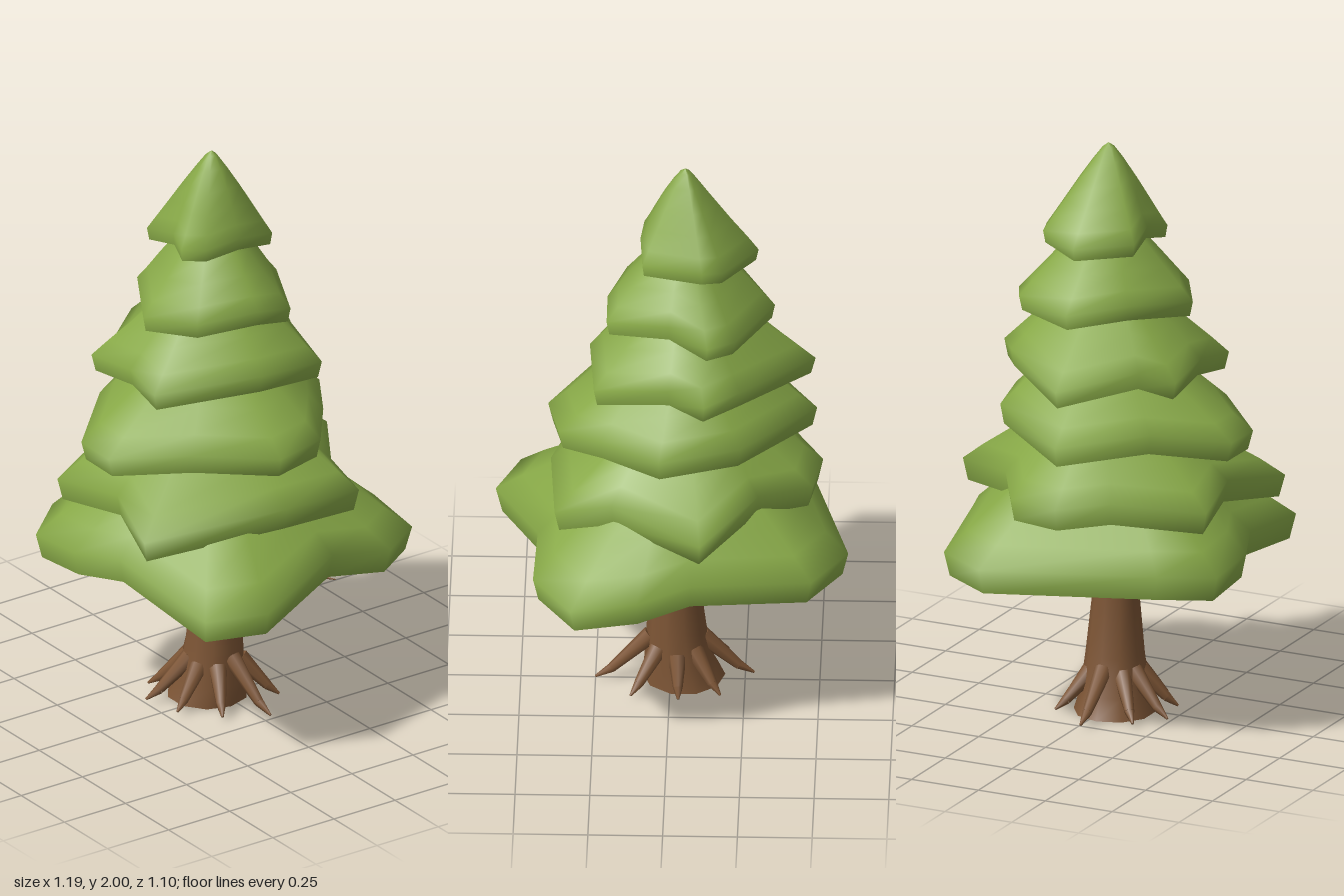
import * as THREE from 'three';

const leafMat = new THREE.MeshStandardMaterial({ color: 0x87a847 });
leafMat.name = 'leafGreen';
const barkMat = new THREE.MeshStandardMaterial({ color: 0x7d5535 });
barkMat.name = 'barkBrown';

// Corners [x, z] of each ragged foliage tier, lowest tier first
const rims = [
  [[-0.6, -0.2], [-0.48, -0.39], [-0.08, -0.48], [0.1, -0.55], [0.32, -0.55], [0.45, -0.37], [0.44, -0.14],
    [0.59, 0.23], [0.51, 0.43], [0.08, 0.475], [-0.09, 0.545], [-0.31, 0.545], [-0.44, 0.385]],
  [[-0.51, 0.04], [-0.48, -0.14], [-0.3, -0.25], [-0.11, -0.505], [0.19, -0.31], [0.38, -0.29], [0.4, 0.02],
    [0.27, 0.51], [0, 0.43], [-0.27, 0.485], [-0.41, 0.2]],
  [[-0.49, 0.03], [-0.24, -0.3], [0.03, -0.375], [0.23, -0.25], [0.37, -0.14], [0.41, 0.05], [0.25, 0.3],
    [0.05, 0.5], [-0.11, 0.5], [-0.3, 0.29]],
  [[-0.485, 0.03], [-0.24, -0.26], [-0.12, -0.345], [0, -0.28], [0.25, -0.23], [0.27, 0.03], [0.13, 0.37],
    [-0.04, 0.35], [-0.25, 0.36], [-0.28, 0.24]],
  [[-0.35, 0], [-0.22, -0.24], [-0.13, -0.285], [0, -0.22], [0.21, -0.13], [0.21, 0], [0.15, 0.21],
    [-0.02, 0.31], [-0.24, 0.18]],
  [[-0.295, 0], [-0.18, -0.17], [-0.11, -0.19], [0.09, -0.14], [0.1, 0], [0.09, 0.13], [0.03, 0.19],
    [-0.06, 0.16], [-0.19, 0.175]],
];

// Joins rings (listed bottom to top, angles rising from x to z) into a smooth skin
function skin(rings) {
  const n = rings[0].length;
  const index = [];
  for (let i = 0; i < rings.length - 1; i++) {
    for (let j = 0; j < n; j++) {
      const a = i * n + j, b = i * n + (j + 1) % n;
      index.push(a, a + n, b, b, a + n, b + n);
    }
  }
  const g = new THREE.BufferGeometry();
  g.setAttribute('position', new THREE.Float32BufferAttribute(rings.flat(2), 3));
  g.setIndex(index);
  g.computeVertexNormals();
  return g;
}

function makeTier(rim, i) {
  const cx = -0.05, cz = 0.01;
  const low = 0.5 + 0.23 * i;
  const thick = 0.1 - 0.01 * i;
  const rise = i === 0 ? 0.42 : 0.332 - 0.01 * i;

  // Corners far from the trunk droop lowest
  const edge = rim.map(([x, z]) => ({ r: Math.hypot(x - cx, z - cz), a: Math.atan2(z - cz, x - cx) }));
  edge.sort((p, q) => p.a - q.a);
  const radii = edge.map((p) => p.r);
  const far = Math.max(...radii), near = Math.min(...radii);
  edge.forEach((p) => { p.y = low + thick * 0.75 * (far - p.r) / (far - near); });
  const average = (key) => edge.reduce((sum, p) => sum + p[key], 0) / edge.length;
  const meanR = average('r'), meanY = average('y');

  // Rim scaled to fraction f, growing rounder and more level toward the centre
  const ring = (f, lift) => edge.map(({ r, a, y }) => {
    const k = f * THREE.MathUtils.lerp(meanR, r, Math.min(1, f * 1.15));
    return [cx + k * Math.cos(a), THREE.MathUtils.lerp(meanY, y, f) + lift, cz + k * Math.sin(a)];
  });

  const slope = [[0.86, 0.13], [0.68, 0.34], [0.48, 0.57], [0.26, 0.8], [0.1, 0.95], [0.002, 1]];
  const top = [[0.965, 0], [1, thick * 0.85], ...slope.map(([f, h]) => [f, thick + rise * h])];
  const under = [[0.002, thick], [0.5, thick * 0.6], [0.8, thick * 0.25], [0.965, 0]];
  const group = new THREE.Group();
  group.name = `foliageTier${i + 1}`;
  for (const [name, profile] of [['boughTop', top], ['boughUnderside', under]]) {
    const mesh = new THREE.Mesh(skin(profile.map(([f, h]) => ring(f, h))), leafMat);
    mesh.name = name;
    group.add(mesh);
  }
  return group;
}

// Tapered limb between two points
function limb(name, from, to, r0, r1) {
  const a = new THREE.Vector3(...from), b = new THREE.Vector3(...to);
  const dir = b.clone().sub(a);
  const mesh = new THREE.Mesh(new THREE.CylinderGeometry(r1, r0, dir.length(), 7), barkMat);
  mesh.position.copy(a).add(b).multiplyScalar(0.5);
  mesh.quaternion.setFromUnitVectors(new THREE.Vector3(0, 1, 0), dir.normalize());
  mesh.name = name;
  return mesh;
}

export function createModel() {
  const tree = new THREE.Group();
  tree.name = 'pineTree';

  // Trunk flares at the foot and leans slightly: [y, centre x, centre z, radius]
  const sections = [[0, -0.045, 0.03, 0.138], [0.07, -0.03, 0.025, 0.118], [0.2, -0.02, 0.02, 0.1],
    [0.4, -0.015, 0.02, 0.08], [0.72, -0.02, 0.02, 0.062]];
  const trunk = new THREE.Mesh(skin(sections.map(([y, x, z, r]) => Array.from({ length: 10 }, (_, i) => {
    const a = (i / 10) * Math.PI * 2;
    return [x + r * Math.cos(a), y, z + r * Math.sin(a)];
  }))), barkMat);
  trunk.name = 'trunk';
  tree.add(trunk);

  const foot = new THREE.Mesh(new THREE.CircleGeometry(0.138, 10), barkMat);
  foot.rotation.x = Math.PI / 2;
  foot.position.set(-0.045, 0, 0.03);
  foot.name = 'trunkBase';
  tree.add(foot);

  // Roots splay from the trunk to tips [x, z]; longer ones start higher
  const roots = [[-0.28, 0.02], [-0.19, 0.17], [-0.09, 0.25], [0.05, 0.22], [0.17, 0.12],
    [0.25, -0.02], [0.13, -0.14], [-0.03, -0.16], [-0.17, -0.13]];
  for (const [x, z] of roots) {
    const a = Math.atan2(z - 0.02, x + 0.02);
    const y = 0.05 + 0.42 * Math.hypot(x + 0.02, z - 0.02);
    const start = [-0.02 + 0.085 * Math.cos(a), y, 0.02 + 0.085 * Math.sin(a)];
    const bend = [THREE.MathUtils.lerp(start[0], x, 0.7), 0.045, THREE.MathUtils.lerp(start[2], z, 0.7)];
    tree.add(limb('root', start, bend, 0.032, 0.017));
    tree.add(limb('rootTip', bend, [x, 0.015, z], 0.017, 0.004));
  }

  // Bare twig under the foliage
  tree.add(limb('twig', [0.02, 0.475, -0.02], [0.13, 0.475, -0.14], 0.02, 0.013));
  tree.add(limb('twigTip', [0.13, 0.475, -0.14], [0.26, 0.45, -0.28], 0.013, 0.002));

  rims.forEach((rim, i) => tree.add(makeTier(rim, i)));
  return tree;
}
